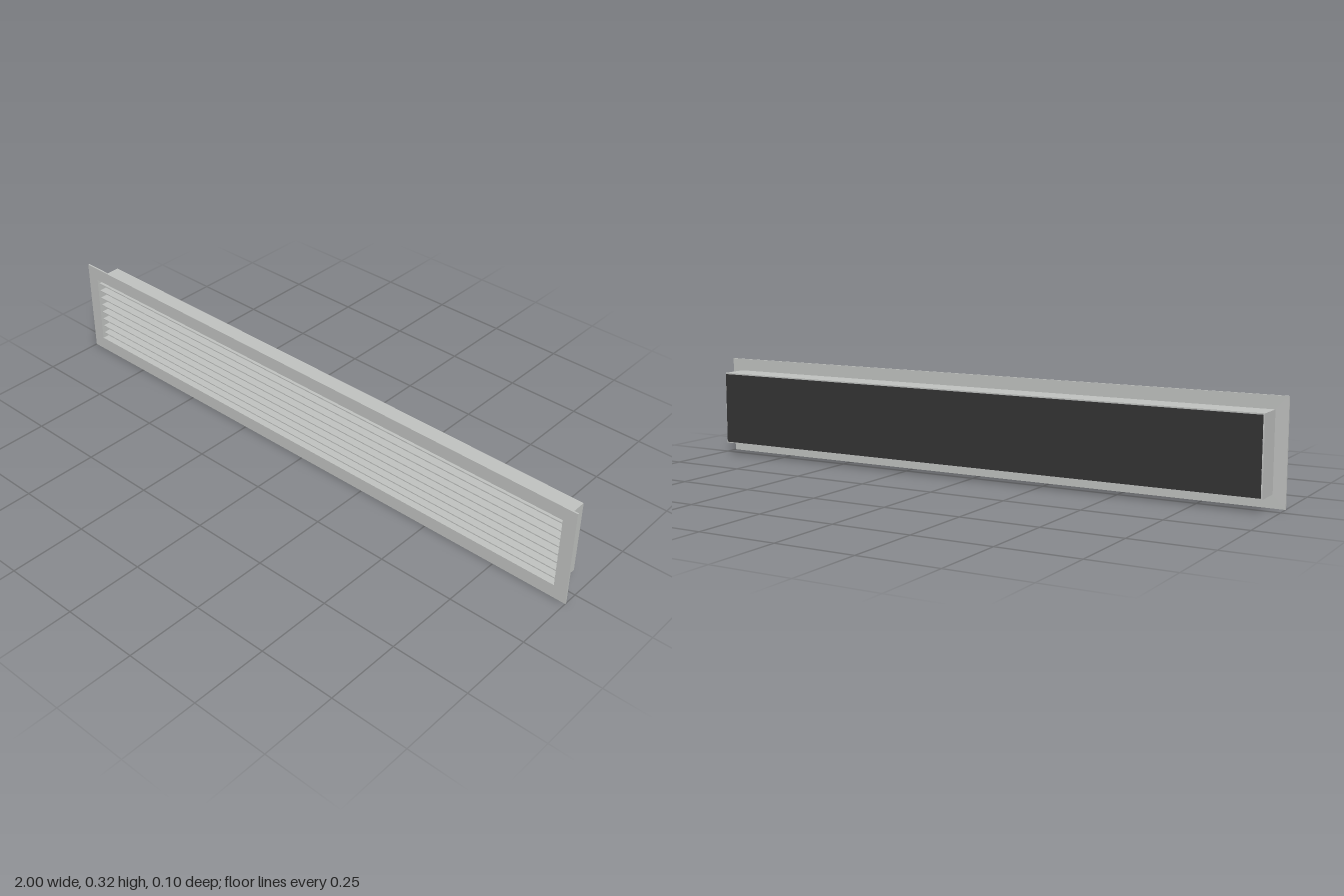
import * as THREE from 'three';

export function createModel() {
  const model = new THREE.Group();
  model.name = 'ventGrille';
  const silver = new THREE.MeshStandardMaterial({ color: 0xc0c2c0 });
  silver.name = 'silver metal';
  const dark = new THREE.MeshStandardMaterial({ color: 0x333333 });
  dark.name = 'dark backing';

  const midY = 0.1625;
  const innerW = 1.914, innerH = 0.236, wall = 0.004;

  // Rectangular ring extruded from zBack to zFront
  function ring(name, w, h, zBack, zFront) {
    const rect = (target, rw, rh) => target
      .moveTo(-rw / 2, -rh / 2).lineTo(rw / 2, -rh / 2)
      .lineTo(rw / 2, rh / 2).lineTo(-rw / 2, rh / 2).closePath();
    const shape = rect(new THREE.Shape(), w, h);
    shape.holes.push(rect(new THREE.Path(), innerW, innerH));
    const geo = new THREE.ExtrudeGeometry(shape, { depth: zFront - zBack, bevelEnabled: false });
    const mesh = new THREE.Mesh(geo, silver);
    mesh.name = name;
    mesh.position.set(0, midY, zBack);
    model.add(mesh);
  }

  function box(name, w, h, y, zBack, zFront, material) {
    const mesh = new THREE.Mesh(new THREE.BoxGeometry(w, h, zFront - zBack), material);
    mesh.name = name;
    mesh.position.set(0, y, (zBack + zFront) / 2);
    model.add(mesh);
  }

  // Front flange and the duct collar behind it
  ring('flange', 2, 0.325, 0.044, 0.0495);
  ring('collar', innerW + 2 * wall, innerH + 2 * wall, -0.0455, 0.044);

  // Flat horizontal blades
  for (let i = 0; i < 8; i++) {
    box('blade', innerW, 0.004, midY + (i - 3.5) * 0.0285, -0.03, 0.042, silver);
  }

  // Backing plate, just behind the collar
  box('backPlate', innerW, innerH, midY, -0.0495, -0.0475, dark);

  return model;
}
